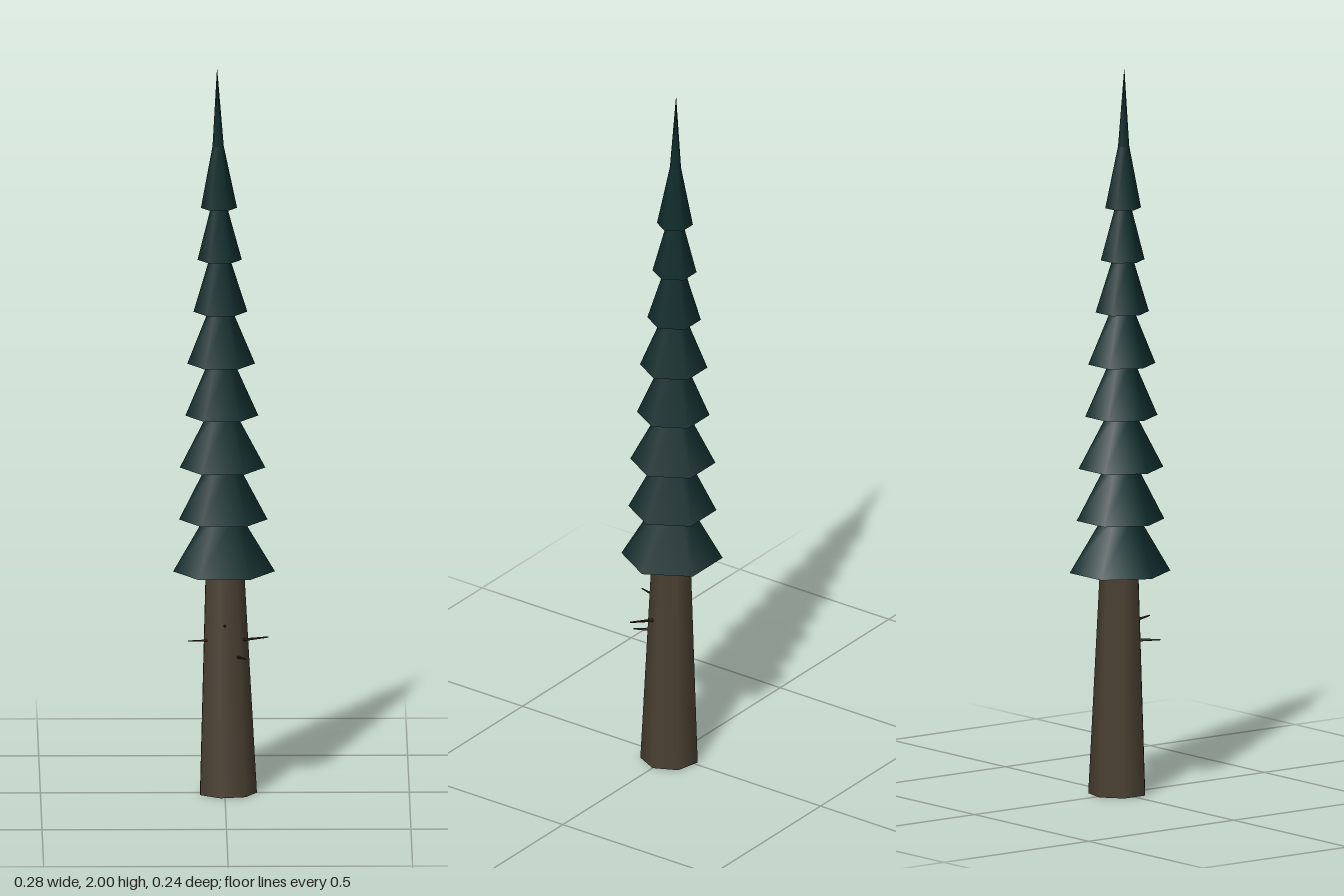
import * as THREE from 'three';

const barkMaterial = new THREE.MeshStandardMaterial({ name: 'bark', color: 0x4a4032 });
const needleMaterial = new THREE.MeshStandardMaterial({
  name: 'needles', color: 0x0f2b2b, side: THREE.DoubleSide,
});
const twigMaterial = new THREE.MeshStandardMaterial({ name: 'dead twig', color: 0x30261c });

// The whole tree leans very slightly towards -x as it rises
const leanAt = (y) => 0.006 - 0.0135 * y;

function lean(geometry) {
  const p = geometry.attributes.position;
  for (let i = 0; i < p.count; i++) p.setX(i, p.getX(i) + leanAt(p.getY(i)));
  return geometry;
}

function addMesh(group, name, geometry, material) {
  const mesh = new THREE.Mesh(geometry, material);
  mesh.name = name;
  group.add(mesh);
}

// Many-sided tapering skirt with a corner on the +x side
function frustum(y0, r0, y1, r1, sides, open) {
  const g = new THREE.CylinderGeometry(r1, r0, y1 - y0, sides, 1, open, Math.PI / 2);
  return lean(g.translate(0, (y0 + y1) / 2, 0));
}

// Thin stub between two points
function twig(from, to) {
  const a = new THREE.Vector3(...from);
  const b = new THREE.Vector3(...to);
  const dir = b.clone().sub(a);
  const g = new THREE.CylinderGeometry(0.002, 0.005, dir.length(), 4);
  g.applyQuaternion(new THREE.Quaternion().setFromUnitVectors(
    new THREE.Vector3(0, 1, 0), dir.clone().normalize()));
  const mid = a.add(b).multiplyScalar(0.5);
  return g.translate(mid.x, mid.y, mid.z);
}

export function createModel() {
  const tree = new THREE.Group();
  tree.name = 'conifer';

  // Trunk: seven-sided, running up inside the foliage
  addMesh(tree, 'trunk', frustum(0, 0.081, 0.612, 0.055, 7, false), barkMaterial);
  addMesh(tree, 'innerTrunk', frustum(0.612, 0.055, 1.75, 0.008, 7, true), barkMaterial);

  // Foliage: open hexagonal skirts, [bottom radius, top radius]
  const tiers = [
    [0.138, 0.05], [0.12, 0.043], [0.116, 0.038], [0.099, 0.034],
    [0.092, 0.031], [0.073, 0.027], [0.06, 0.021], [0.049, 0.015],
  ];
  const step = 0.1437;
  tiers.forEach(([r0, r1], i) => {
    const y0 = 0.612 + i * step;
    const y1 = i === tiers.length - 1 ? 1.79 : y0 + step + 0.006;
    addMesh(tree, `foliageTier${i + 1}`, frustum(y0, r0, y1, r1, 6, true), needleMaterial);
  });

  // Slender leader at the top
  addMesh(tree, 'topSpike', frustum(1.785, 0.0155, 2, 0.0005, 6, true), needleMaterial);

  // Dead twigs on the bare trunk
  const twigs = [
    [[-0.03, 0.425, 0.02], [-0.1, 0.432, 0.062]],
    [[0.035, 0.425, 0.02], [0.117, 0.441, 0.053]],
    [[0.0, 0.47, 0.045], [-0.003, 0.48, 0.102]],
    [[0.025, 0.385, 0.035], [0.056, 0.386, 0.086]],
  ];
  twigs.forEach(([a, b], i) => addMesh(tree, `twig${i + 1}`, twig(a, b), twigMaterial));

  return tree;
}
